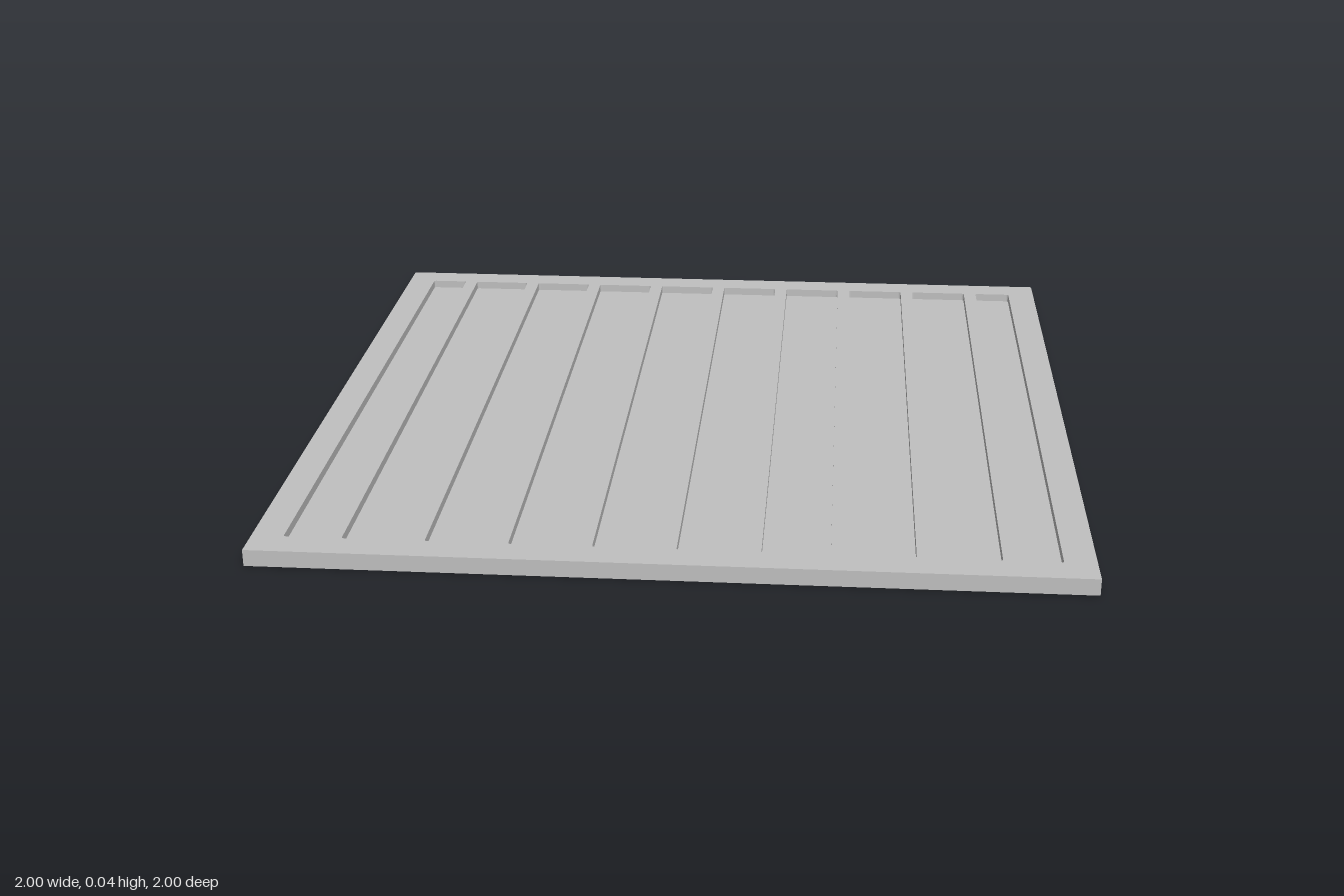
import * as THREE from 'three';

const HEIGHT = 0.042, FLOOR = 0.02; // overall height, recessed floor level
const INNER = 0.922, BAR = 0.037;   // inner half-size of the rim, bar width

// Rectangular slot with slightly rounded corners
function slot(x0, x1, z0, z1, r = 0.006) {
  const p = new THREE.Path();
  p.moveTo(x0 + r, z0);
  p.lineTo(x1 - r, z0);
  p.quadraticCurveTo(x1, z0, x1, z0 + r);
  p.lineTo(x1, z1 - r);
  p.quadraticCurveTo(x1, z1, x1 - r, z1);
  p.lineTo(x0 + r, z1);
  p.quadraticCurveTo(x0, z1, x0, z1 - r);
  p.lineTo(x0, z0 + r);
  p.quadraticCurveTo(x0, z0, x0 + r, z0);
  return p;
}

export function createModel() {
  const group = new THREE.Group();
  group.name = 'slottedPanel';
  const grey = new THREE.MeshStandardMaterial({ color: 0xc0c0c0 });
  grey.name = 'lightGrey';

  // Solid base forming the floor of the slots
  const base = new THREE.Mesh(new THREE.BoxGeometry(2, FLOOR, 2), grey);
  base.name = 'basePlate';
  base.position.y = FLOOR / 2;
  group.add(base);

  // Rim and nine bars, cut from one plate by ten slots
  const plate = new THREE.Shape();
  plate.moveTo(-1, -1);
  plate.lineTo(1, -1);
  plate.lineTo(1, 1);
  plate.lineTo(-1, 1);
  plate.closePath();
  for (let i = 0; i < 10; i++) {
    const x0 = i === 0 ? -INNER : -1 + i * 0.2 + BAR / 2;
    const x1 = i === 9 ? INNER : -0.8 + i * 0.2 - BAR / 2;
    plate.holes.push(slot(x0, x1, -INNER, INNER));
  }
  const geometry = new THREE.ExtrudeGeometry(plate, {
    depth: HEIGHT - FLOOR, bevelEnabled: false, curveSegments: 3,
  });
  geometry.rotateX(-Math.PI / 2);
  const grille = new THREE.Mesh(geometry, grey);
  grille.name = 'rimAndBars';
  grille.position.y = FLOOR;
  group.add(grille);

  return group;
}
